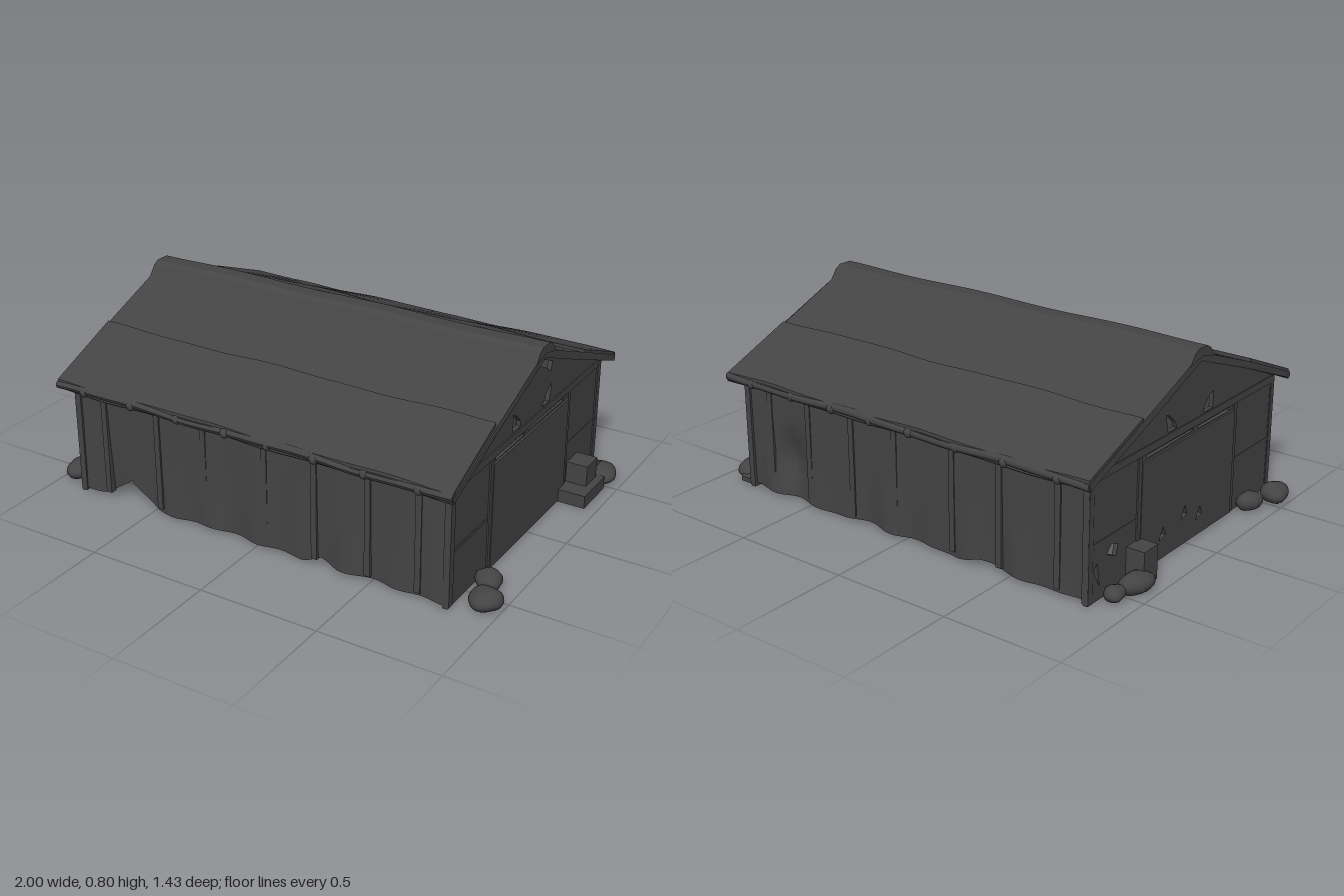
import * as THREE from 'three';

const darkGrey = new THREE.MeshStandardMaterial({ color: 0x444444, side: THREE.DoubleSide });
const CX = -0.015; // centre of the building along x

function add(parent, geo, name, x = 0, y = 0, z = 0) {
  const m = new THREE.Mesh(geo, darkGrey);
  m.name = name;
  m.position.set(x, y, z);
  parent.add(m);
  return m;
}

// Move every vertex by a rule
function warp(geo, rule) {
  const p = geo.attributes.position, v = new THREE.Vector3();
  for (let i = 0; i < p.count; i++) {
    v.fromBufferAttribute(p, i);
    rule(v);
    p.setXYZ(i, v.x, v.y, v.z);
  }
  geo.computeVertexNormals();
  return geo;
}

const polygon = pts => new THREE.Shape(pts.map(([a, b]) => new THREE.Vector2(a, b)));
const bump = (x, c, w) => Math.max(0, 1 - Math.abs(x - c) / w);

// Extrude a (z, y) outline along x, centred on x = 0
function alongX(shape, length, steps = 1) {
  const g = new THREE.ExtrudeGeometry(shape, { depth: length, steps, bevelEnabled: false });
  return g.translate(0, 0, -length / 2).rotateY(-Math.PI / 2);
}

// Long wall with bulging panels and a ragged lower edge
function longWall(side) {
  const geo = new THREE.BoxGeometry(1.68, 0.49, 0.016, 84, 10, 1);
  return warp(geo, v => {
    const x = v.x, low = 0.5 - v.y / 0.49;
    v.z += side * (0.006 * Math.sin(x * 19) * low + 0.008 * low * low * Math.sin(x * 31 + side));
    let lift = 0.008 + 0.008 * Math.sin(x * 14 + side) * Math.sin(x * 5);
    if (side > 0) {
      lift += 0.085 * bump(x, -0.6, 0.13) + 0.03 * bump(x, 0.3, 0.07);
      v.z -= 0.03 * bump(x, -0.6, 0.15) * low;
    } else {
      v.z += 0.04 * bump(x, 0.62, 0.12) * bump(low, 0.65, 0.3);
      lift += 0.025 * bump(x, -0.35, 0.1);
    }
    v.y += lift * Math.max(0, low * 2 - 1);
  });
}

// End wall with ventilation gaps; extra holes differ at each end
function endWall(extraHoles) {
  const shape = polygon([[-0.645, 0], [0.645, 0], [0.645, 0.49], [0, 0.755], [-0.645, 0.49]]);
  const holes = [
    [[0.165, 0.5], [0.1, 0.5], [0.1, 0.52], [0.135, 0.555], [0.165, 0.57]],
    [[-0.09, 0.5], [-0.15, 0.5], [-0.165, 0.57], [-0.14, 0.56], [-0.1, 0.525]],
    [[0.3, 0.445], [0.06, 0.447], [0.06, 0.457], [0.3, 0.46]],
    [[0.03, 0.452], [-0.29, 0.445], [-0.29, 0.457], [0.03, 0.46]],
    ...extraHoles,
  ];
  for (const h of holes) shape.holes.push(polygon(h));
  return alongX(shape, 0.018);
}

// Lumpy rounded stone
function stone(rx, ry, rz, seed) {
  return warp(new THREE.SphereGeometry(1, 18, 12), v => {
    const k = 1 + 0.09 * Math.sin(v.x * 3 + seed) * Math.cos(v.z * 4 + seed);
    v.set(v.x * rx * k, Math.max(-0.8, v.y) * ry * k, v.z * rz * k);
  });
}

export function createModel() {
  const model = new THREE.Group();
  model.name = 'shed';

  // Long walls with upright battens
  for (const side of [1, -1]) {
    const wall = new THREE.Group();
    wall.name = side > 0 ? 'frontWall' : 'backWall';
    model.add(wall);
    add(wall, longWall(side), 'wallPanel', CX, 0.247, side * 0.628);
    for (const x of [-0.72, -0.46, -0.24, 0.04, 0.26, 0.49, 0.7])
      add(wall, new THREE.BoxGeometry(0.025, 0.46, 0.028), 'batten', x, 0.255, side * 0.627);
    for (const x of [-0.845, 0.82])
      add(wall, new THREE.BoxGeometry(0.026, 0.48, 0.03), 'cornerPost', x, 0.245, side * 0.63);
  }

  // End walls with door, posts and tie beam
  const torn = {
    rightEnd: [[[-0.08, 0.7], [-0.16, 0.665], [-0.15, 0.625], [-0.12, 0.65], [-0.05, 0.685]]],
    leftEnd: [
      [[-0.12, 0.66], [-0.16, 0.665], [-0.14, 0.625]],
      [[-0.47, 0.13], [-0.53, 0.16], [-0.5, 0.19], [-0.46, 0.175]],
      [[-0.57, 0.05], [-0.61, 0.12], [-0.59, 0.15]],
    ],
  };
  for (const side of [1, -1]) {
    const end = new THREE.Group();
    end.name = side > 0 ? 'leftEnd' : 'rightEnd';
    model.add(end);
    const x = CX + side * 0.833;
    add(end, endWall(side > 0 ? torn.rightEnd : torn.leftEnd), 'gableWall', x);
    const panel = polygon([[-0.325, 0.005], [0.325, 0.005], [0.325, 0.443], [-0.325, 0.44]]);
    if (side < 0) {
      // small tears through the door
      end.children[0].geometry.dispose();
      const tears = [[-0.2, 0.08], [-0.05, 0.11], [0.06, 0.07]].map(([z, y]) =>
        [[z, y], [z + 0.045, y + 0.015], [z + 0.03, y + 0.055]]);
      end.children[0].geometry = endWall([...torn.leftEnd, ...tears]);
      for (const t of tears) panel.holes.push(polygon(t));
    }
    add(end, alongX(panel, 0.012), 'door', x + side * 0.012);
    for (const z of [-0.335, 0.335])
      add(end, new THREE.BoxGeometry(0.03, 0.46, 0.022), 'doorPost', x, 0.235, z);
    for (const z of [-0.632, 0.632])
      add(end, new THREE.BoxGeometry(0.024, 0.485, 0.025), 'endPost', x, 0.245, z);
    add(end, new THREE.BoxGeometry(0.028, 0.03, 1.26), 'tieBeam', x, 0.48, 0);
    for (const z of [-0.49, 0.49])
      add(end, new THREE.BoxGeometry(0.022, 0.012, 0.28), 'rail', x, 0.225, z);
  }

  // Roof: two sagging slopes, overlapping lower sheets and a ridge cap
  const roof = new THREE.Group();
  roof.name = 'roof';
  model.add(roof);
  const sag = v => {
    v.y += 0.004 * Math.sin(v.x * 8 + v.z * 5);
    v.z += 0.003 * Math.sin(v.x * 17) * Math.sign(v.z);
    v.x += 0.006 * Math.sin(v.z * 9) * Math.sign(v.x);
  };
  const flip = (pts, s) => pts.map(([z, y]) => [z * s, y]);
  const slope = [[0, 0.778], [0.37, 0.63], [0.705, 0.495], [0.7, 0.47], [0.37, 0.6], [0, 0.745]];
  const lower = [[0.38, 0.64], [0.7, 0.508], [0.705, 0.475], [0.38, 0.615]];
  for (const side of [1, -1]) {
    add(roof, warp(alongX(polygon(flip(slope, side)), 1.765, 40), sag), 'roofSlope', CX);
    add(roof, warp(alongX(polygon(flip(lower, side)), 1.755, 40), sag), 'lowerSheet', CX);
    // Rounded eave and the rafter tails showing below it
    const eave = new THREE.CylinderGeometry(0.017, 0.017, 1.76, 10, 40).rotateZ(Math.PI / 2);
    add(roof, warp(eave, sag), 'eave', CX, 0.488, side * 0.694);
    for (const x of [-0.76, -0.53, -0.31, -0.09, 0.1, 0.3, 0.51, 0.73])
      add(roof, new THREE.SphereGeometry(0.02, 10, 8), 'rafterTail', x, 0.484, side * 0.697);
  }
  const cap = polygon([[-0.085, 0.745], [-0.055, 0.785], [-0.03, 0.799], [0.03, 0.799],
    [0.055, 0.785], [0.085, 0.745], [0, 0.765]]);
  add(roof, warp(alongX(cap, 1.77, 40), v => { v.y += 0.003 * Math.sin(v.x * 9) - 0.002; }), 'ridgeCap', CX);

  // Stones around the corners: x, z, radii
  const stones = [
    [0.935, 0.555, 0.065, 0.04, 0.065], [0.885, 0.43, 0.055, 0.038, 0.05],
    [-0.942, 0.55, 0.058, 0.04, 0.07], [-0.9, 0.42, 0.045, 0.038, 0.06],
    [0.91, -0.55, 0.06, 0.036, 0.09], [-0.925, -0.44, 0.05, 0.04, 0.075],
    [-0.9, -0.54, 0.04, 0.03, 0.05],
  ];
  stones.forEach(([x, z, rx, ry, rz], i) => {
    add(model, stone(rx, ry, rz, i * 1.7), 'stone', x, ry * 0.82, z)
      .rotation.y = (i % 2 ? -0.35 : 0.35);
  });

  // Rubble and leaning slab at one corner, block at the other
  add(model, new THREE.BoxGeometry(0.12, 0.055, 0.2), 'rubbleBase', 0.89, 0.0275, -0.38);
  add(model, new THREE.BoxGeometry(0.09, 0.09, 0.1), 'rubbleBlock', 0.875, 0.098, -0.41);
  const slab = polygon([[-0.4, 0.005], [-0.64, 0.005], [-0.64, 0.025], [-0.48, 0.13], [-0.4, 0.12]]);
  add(model, alongX(slab, 0.06), 'leaningSlab', 0.86);
  add(model, new THREE.BoxGeometry(0.09, 0.14, 0.09), 'block', -0.89, 0.07, -0.36);

  return model;
}
